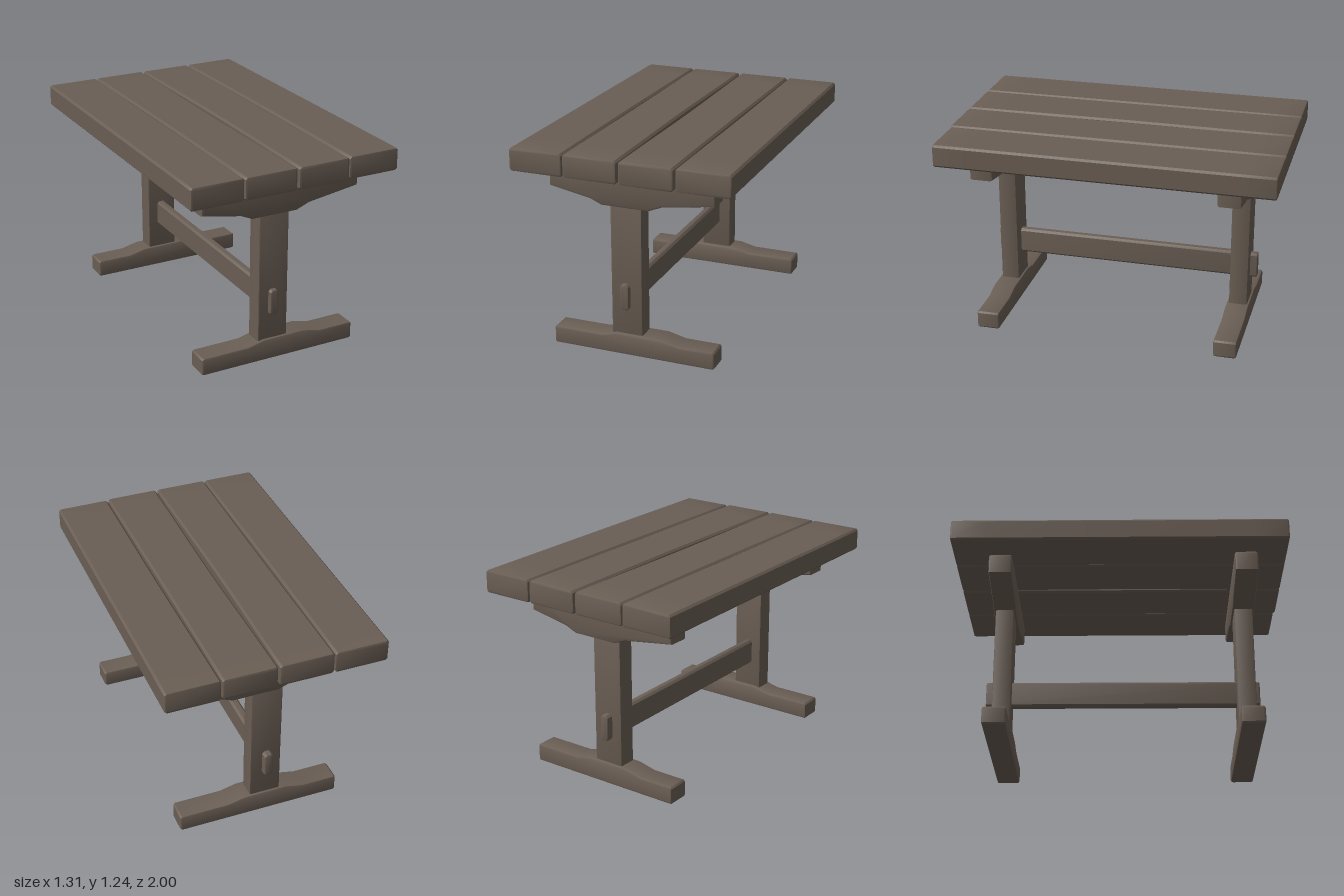
import * as THREE from 'three';
import { toCreasedNormals } from 'three/addons/utils/BufferGeometryUtils.js';

const wood = new THREE.MeshStandardMaterial({ color: 0x6a5e54 });
wood.name = 'weatheredWood';

// Extrudes an x/y outline from z0 to z1 with softened end edges
function beam(name, points, z0, z1, bevel, bend, steps = 1) {
  const shape = new THREE.Shape(points.map(([x, y]) => new THREE.Vector2(x, y)));
  const geo = new THREE.ExtrudeGeometry(shape, {
    depth: z1 - z0 - 2 * bevel, steps,
    bevelEnabled: true, bevelThickness: bevel, bevelSize: bevel, bevelOffset: -bevel, bevelSegments: 2,
  });
  geo.translate(0, 0, z0 + bevel);
  if (bend) {
    const p = geo.attributes.position, v = new THREE.Vector3();
    for (let i = 0; i < p.count; i++) {
      bend(v.fromBufferAttribute(p, i));
      p.setXYZ(i, v.x, v.y, v.z);
    }
  }
  const mesh = new THREE.Mesh(toCreasedNormals(geo, 0.6), wood);
  mesh.name = name;
  return mesh;
}

// Rectangle outline with cut corners
function rect(x0, x1, y0, y1, c) {
  return [[x0 + c, y0], [x1 - c, y0], [x1, y0 + c], [x1, y1 - c],
    [x1 - c, y1], [x0 + c, y1], [x0, y1 - c], [x0, y0 + c]];
}

// Slightly uneven foot and bearer outlines
const FOOT = [[-0.49, 0], [0.49, 0], [0.5, 0.01], [0.5, 0.098], [0.49, 0.108], [0.28, 0.108],
  [0.17, 0.133], [-0.1, 0.133], [-0.2, 0.109], [-0.49, 0.108], [-0.5, 0.098], [-0.5, 0.01]];
const BEARER = [[-0.5, 0.982], [-0.25, 0.935], [-0.18, 0.905], [0.1, 0.905], [0.18, 0.937],
  [0.5, 0.985], [0.5, 1.095], [0.49, 1.106], [-0.49, 1.106], [-0.5, 1.095]];

export function createModel() {
  const table = new THREE.Group();
  table.name = 'trestleTable';

  // Four top planks, inner edges worn hollow towards the middle
  const top = new THREE.Group();
  top.name = 'tableTop';
  const planks = [[-0.655, -0.333, 0, 0.004], [-0.329, -0.006, 0.003, 0.008],
    [0.004, 0.325, 0.008, 0.003], [0.332, 0.652, 0.004, 0]];
  planks.forEach(([x0, x1, hollowL, hollowR], i) => {
    const mid = (x0 + x1) / 2;
    top.add(beam('plank' + (i + 1), rect(x0, x1, 1.105, 1.24, 0.012), -1, i === 3 ? 0.99 : 1, 0.012, (v) => {
      const w = Math.cos(v.z * Math.PI / 2) ** 2;
      v.x += v.x < mid ? hollowL * w : -hollowR * w;
    }, 10));
  });
  table.add(top);

  // Two trestles, the rear one with its foot and bearer turned around
  for (const [name, s, z, drop] of [['frontTrestle', 1, 0.755, 0], ['rearTrestle', -1, -0.715, 0.013]]) {
    const trestle = new THREE.Group();
    trestle.name = name;
    const foot = FOOT.map(([x, y]) => [s * x, y]);
    const bearer = BEARER.map(([x, y]) => [s * x, y - drop]);
    trestle.add(
      beam('foot', foot, z - 0.07, z + 0.07, 0.014),
      beam('post', rect(-0.133, 0.058, 0.1, 0.93, 0.005), z - 0.056, z + 0.056, 0.01),
      beam('bearer', bearer, z - 0.07, z + 0.07, 0.014),
    );
    table.add(trestle);
  }

  // Long rail passing through both posts
  table.add(beam('stretcher', rect(-0.069, -0.015, 0.288, 0.447, 0.013), -0.815, 0.84, 0.01));
  return table;
}
